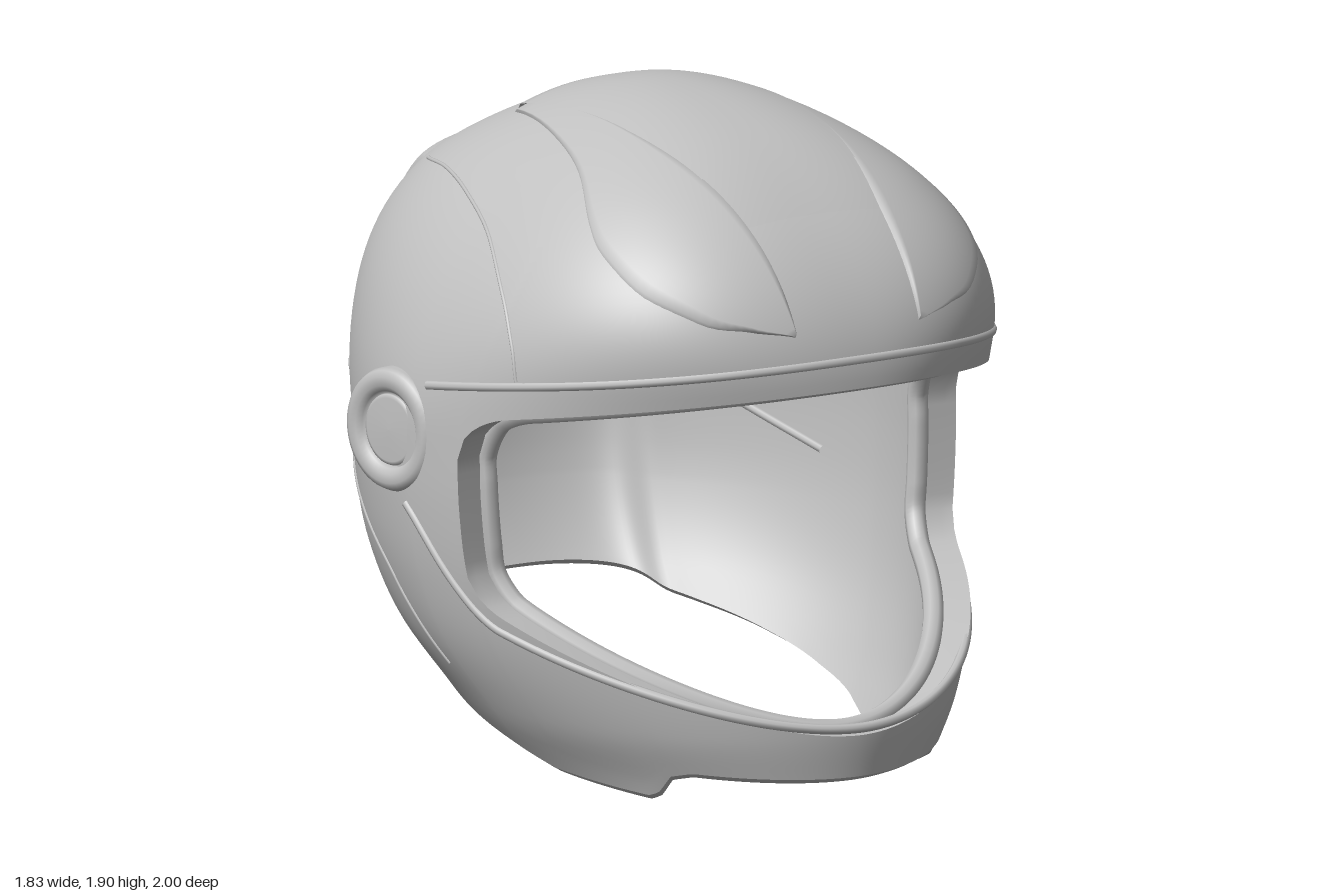
import * as THREE from 'three';
import { mergeGeometries, mergeVertices } from 'three/addons/utils/BufferGeometryUtils.js';

const V = (x, y, z) => new THREE.Vector3(x, y, z);
const { smoothstep, lerp, clamp } = THREE.MathUtils;
const TOP = 1.887, N = 240, K = 51, T0 = K / N * Math.PI * 2, Z0 = Math.cos(T0);
const curve2 = pts => new THREE.SplineCurve(pts.map(p => new THREE.Vector2(...p)));

// Lower profiles, sampled every 0.2 in height
const spline = vals => {
  const c = curve2(vals.map((v, i) => [i * 0.2, v]));
  return y => c.getPoint(clamp(y / 0.2 / (vals.length - 1), 0, 1)).y;
};
const lowSide = spline([0.56, 0.685, 0.788, 0.843, 0.866, 0.87]);
const lowBack = spline([0.5, 0.62, 0.82, 0.935, 0.98, 0.992]);
const lowFront = spline([0.965, 0.988, 0.99, 0.995, 1, 1]);
const dome = (y, y0, p) => Math.pow(Math.max(0, 1 - Math.pow(Math.max(0, (y - y0) / (TOP - y0)), p)), 1 / p);

// Horizontal cross-section: half width, centre, half depth, squareness in front (n) and behind (m)
function section(y) {
  const w = y < 1 ? lowSide(y) : 0.87 * dome(y, 1, 1.93);
  const b = y < 1 ? lowBack(y) : 0.992 * dome(y, 1, 1.85);
  const f = y < 1 ? lowFront(y) : dome(y, 1.2, 1.9);
  const crown = 0.5 * smoothstep(y, 1.65, TOP);
  const n = 1.9 + 0.95 * smoothstep(y, 1, 1.6) - crown;
  const m = 1.72 + 1.13 * clamp((y - 0.9) / 0.75, 0, 1) ** 2 - crown;
  return { w, c: (f - b) / 2, a: (f + b) / 2, n, m };
}
// Relative half width at relative depth r; the back is flattened near the middle
function widthAt(r, { n, m }) {
  const e = r > 0 ? n : m + Math.max(0, 2.4 - m) * smoothstep(-r, 0.75, 0.97);
  return Math.pow(Math.max(0, 1 - Math.abs(r) ** e), 1 / e);
}
function outer(t, y) {
  const s = section(y), ct = Math.cos(t);
  const r = Math.sign(ct) * Math.pow(Math.abs(ct), 2 / (ct > 0 ? s.n : s.m));
  return V(Math.sign(Math.sin(t)) * s.w * widthAt(r, s), y, s.c + s.a * r);
}
const INX = 0.835;
const inward = p => V(p.x * INX, p.y - 0.1 * smoothstep(p.y, 1.2, TOP), p.z * 0.88);
const inner = (t, y) => inward(outer(t, y));

// Point on the shell along a ray from inside, raised by off
function hit(x, y, z, dir, off = 0) {
  let lo = 0, hi = 2;
  for (let i = 0; i < 32; i++) {
    const d = (lo + hi) / 2, q = V(x, y, z).addScaledVector(dir, d);
    const s = section(q.y);
    if (q.y < TOP && Math.abs(q.x) < s.w * widthAt((q.z - s.c) / s.a, s)) lo = d; else hi = d;
  }
  const p = V(x, y, z).addScaledVector(dir, lo);
  return p.addScaledVector(p.clone().sub(V(0, 1, 0)).normalize(), off);
}

// Edges of the face opening and the neck rim
const corner = (z, r) => { const s = clamp((z - Z0) / r, 0, 1); return 1 - Math.sqrt(1 - (1 - s) ** 2); };
const brow = t => { const z = Math.max(Z0, Math.cos(t)); return 1.02 + 0.17 * z - 0.11 * corner(z, 0.16); };
const chin = t => { const z = Math.max(Z0, Math.cos(t)); return 0.2 + 0.46 * (1 - z) + 0.06 * corner(z, 0.09); };
const RIM = [[-1, 0.385], [-0.72, 0.29], [-0.52, 0.23], [-0.27, 0.16], [0, 0.1], [0.15, 0.06],
  [0.55, 0.02], [0.59, 0.035], [0.65, 0.085], [0.72, 0.098], [1, 0.08]];
const rim = t => {
  const z = Math.cos(t);
  let i = 0;
  while (i < RIM.length - 2 && z > RIM[i + 1][0]) i++;
  const [a, b] = [RIM[i], RIM[i + 1]];
  return lerp(a[1], b[1], (z - a[0]) / (b[0] - a[0]));
};

// Grid surface from a function of two indices
function grid(nu, nv, fn, flip = false) {
  const pos = [], idx = [];
  for (let j = 0; j <= nv; j++) for (let i = 0; i <= nu; i++) pos.push(...fn(i, j).toArray());
  for (let j = 0; j < nv; j++) for (let i = 0; i < nu; i++) {
    const a = j * (nu + 1) + i, b = a + 1, c = a + nu + 1, d = c + 1;
    idx.push(...(flip ? [a, d, b, a, c, d] : [a, b, d, a, d, c]));
  }
  const g = new THREE.BufferGeometry();
  g.setAttribute('position', new THREE.Float32BufferAttribute(pos, 3));
  g.setIndex(idx);
  return g;
}
function smooth(...parts) {
  const g = mergeVertices(parts.length > 1 ? mergeGeometries(parts) : parts[0], 1e-4);
  g.computeVertexNormals();
  return g;
}
const angle = i => i / N * Math.PI * 2;
function shell(map, flip) {
  const band = (i0, i1, nv, from, to, ease = v => v) => grid(i1 - i0, nv, (i, j) => {
    const t = angle(i + i0);
    return map(t, lerp(from(t), to(t), ease(j / nv)));
  }, flip);
  return smooth(
    band(0, N, 40, brow, () => TOP, v => Math.sin(v * Math.PI / 2)),
    band(K, N - K, 8, chin, brow),
    band(0, N, 14, rim, chin));
}

export function createModel() {
  const model = new THREE.Group();
  const grey = new THREE.MeshStandardMaterial({ color: 0xc0c0c0, side: THREE.DoubleSide });
  grey.name = 'light grey';
  const add = (name, geo, parent = model) => {
    const m = new THREE.Mesh(geo, grey);
    m.name = name;
    parent.add(m);
    return m;
  };
  const tube = (name, pts, r, closed = false) =>
    add(name, new THREE.TubeGeometry(new THREE.CatmullRomCurve3(pts, closed), pts.length * 3, r, 8, closed));

  // Shell, inside and out
  add('outerShell', shell(outer, false));
  add('innerLiner', shell(inner, true));

  // Rounded neck rim
  add('neckRim', smooth(grid(N, 6, (i, j) => {
    const t = angle(i), p = outer(t, rim(t)).lerp(inner(t, rim(t)), j / 6);
    p.y -= 0.02 * Math.sin(j / 6 * Math.PI);
    return p;
  }, true)));

  // Face opening: outline loop, frame and rounded gasket
  const loop = [];
  for (let i = -K; i <= K; i++) loop.push([angle(i), brow(angle(i))]);
  for (let j = 1; j < 8; j++) loop.push([T0, lerp(brow(T0), chin(T0), j / 8)]);
  for (let i = K; i >= -K; i--) loop.push([angle(i), chin(angle(i))]);
  for (let j = 1; j < 8; j++) loop.push([-T0, lerp(chin(T0), brow(T0), j / 8)]);
  const across = ([t, y], f) => outer(t, y).lerp(inner(t, y), f);
  add('openingFrame', smooth(grid(loop.length, 4, (i, j) => across(loop[i % loop.length], j / 4))));
  tube('openingGasket', loop.filter((_, i) => i % 2 === 0).map(p => across(p, 0.82)), 0.03, true);

  // Visor seam above the opening and chin seam below it
  const ring = (half, yOf, off) => Array.from({ length: 61 }, (_, i) => {
    const t = lerp(-half, half, i / 60);
    return outer(t, yOf(Math.cos(t))).multiply(V(1 + off, 1, 1 + off));
  });
  tube('visorSeam', ring(1.5, z => 1.13 + 0.14 * z, -0.006), 0.014);
  tube('chinSeam', ring(1.6, z => 0.22 + 0.36 * (1 - z) + 0.2 * smoothstep(0.3 - z, 0, 0.33), -0.006), 0.014);

  // Raised panel whose border sinks into the shell
  const steps = n => [0, 0.025, ...Array.from({ length: n }, (_, i) => 0.025 + 0.95 * (i + 1) / (n + 1)), 0.975, 1];
  const panel = (name, nu, nv, raise, at) => {
    const us = steps(nu), vs = steps(nv);
    add(name, smooth(grid(us.length - 1, vs.length - 1, (i, j) => {
      const edge = i === 0 || j === 0 || i === us.length - 1 || j === vs.length - 1;
      return at(us[i], vs[j], edge ? -0.006 : raise);
    })));
  };
  const UP = V(0, 1, 0), BACK = V(0, 0, -1);
  const wing = curve2([[-0.28, 0.31], [0, 0.38], [0.25, 0.46], [0.45, 0.56], [0.57, 0.59],
    [0.72, 0.565], [0.85, 0.46], [0.92, 0.33], [0.958, 0.205]]);
  const stripe = z => 0.29 - 0.07 * smoothstep(z, 0.2, 0.95);
  for (const s of [1, -1]) panel(s > 0 ? 'leftForeheadPanel' : 'rightForeheadPanel', 14, 40, 0.01, (u, v, off) => {
    const p = wing.getPoint(1 - v), f = s > 0 ? u : 1 - u;
    return hit(s * lerp(stripe(p.x) - 0.012, p.y, f), 1.2, p.x, UP, off);
  });
  // Centre stripe, flush with the brow at its front end
  add('crownStripe', smooth(grid(24, 44, (i, j) => {
    const z = lerp(0.94, -0.29, j / 44);
    const off = j === 44 ? -0.006 : lerp(0.013, -0.004, smoothstep(z, 0.45, 0.88));
    return hit(lerp(-1, 1, i / 24) * stripe(z), 1.2, z, UP, off);
  })));
  panel('backPanel', 24, 24, 0.01, (u, v, off) => {
    const k = 1 - 2 * u;
    return hit(k * lerp(0.31, 0.45, v), lerp(1.0, 1.64 + 0.06 * (1 - k * k), v), 0, BACK, off);
  });

  // Side seams and hinge discs, mirrored
  const upper = [[1.2, 0.42], [1.3, 0.39], [1.42, 0.3], [1.55, 0.12], [1.63, -0.1], [1.66, -0.28], [1.65, -0.45]];
  const lower = [[1.02, -0.92], [0.86, -0.7], [0.72, -0.4], [0.6, -0.2], [0.5, -0.1], [0.33, 0.05]];
  const discProfile = [[0.175, -0.08], [0.175, 0], [0.168, 0.016], [0.15, 0.026], [0.125, 0.024], [0.11, 0.012],
    [0.103, 0], [0.1, 0.008], [0.09, 0.012], [0, 0.014]].map(p => new THREE.Vector2(...p));
  for (const s of [1, -1]) {
    const side = s > 0 ? 'left' : 'right';
    const seam = pts => curve2(pts).getPoints(40).map(p => hit(0, p.x, p.y, V(s, 0, 0), -0.002));
    tube(side + 'UpperSeam', seam(upper), 0.006);
    tube(side + 'LowerSeam', seam(lower), 0.007);
    const hinge = new THREE.Group();
    hinge.name = side + 'Hinge';
    hinge.position.set(s * 0.868, 0.99, -0.065);
    hinge.rotation.y = s > 0 ? -0.14 : Math.PI + 0.14;
    add(side + 'HingeDisc', new THREE.LatheGeometry(discProfile, 48), hinge).rotation.z = -Math.PI / 2;
    model.add(hinge);
    // Padding seam inside
    const pad = [[0.3, 1.05], [0.43, 0.96], [0.56, 0.84], [0.68, 0.72]];
    tube(side + 'PaddingSeam', pad.map(([x, y]) => inward(hit(s * x / INX, y, 0, BACK))), 0.012);
  }

  // Padding pad at the back of the inside
  add('rearPad', smooth(grid(16, 12, (i, j) => {
    const edge = i === 0 || i === 16 || j === 0 || j === 12;
    const p = inward(hit(lerp(-0.35, 0.35, i / 16), lerp(0.95, 1.5, j / 12), 0, BACK));
    p.z += edge ? -0.005 : 0.012;
    return p;
  })));
  return model;
}
